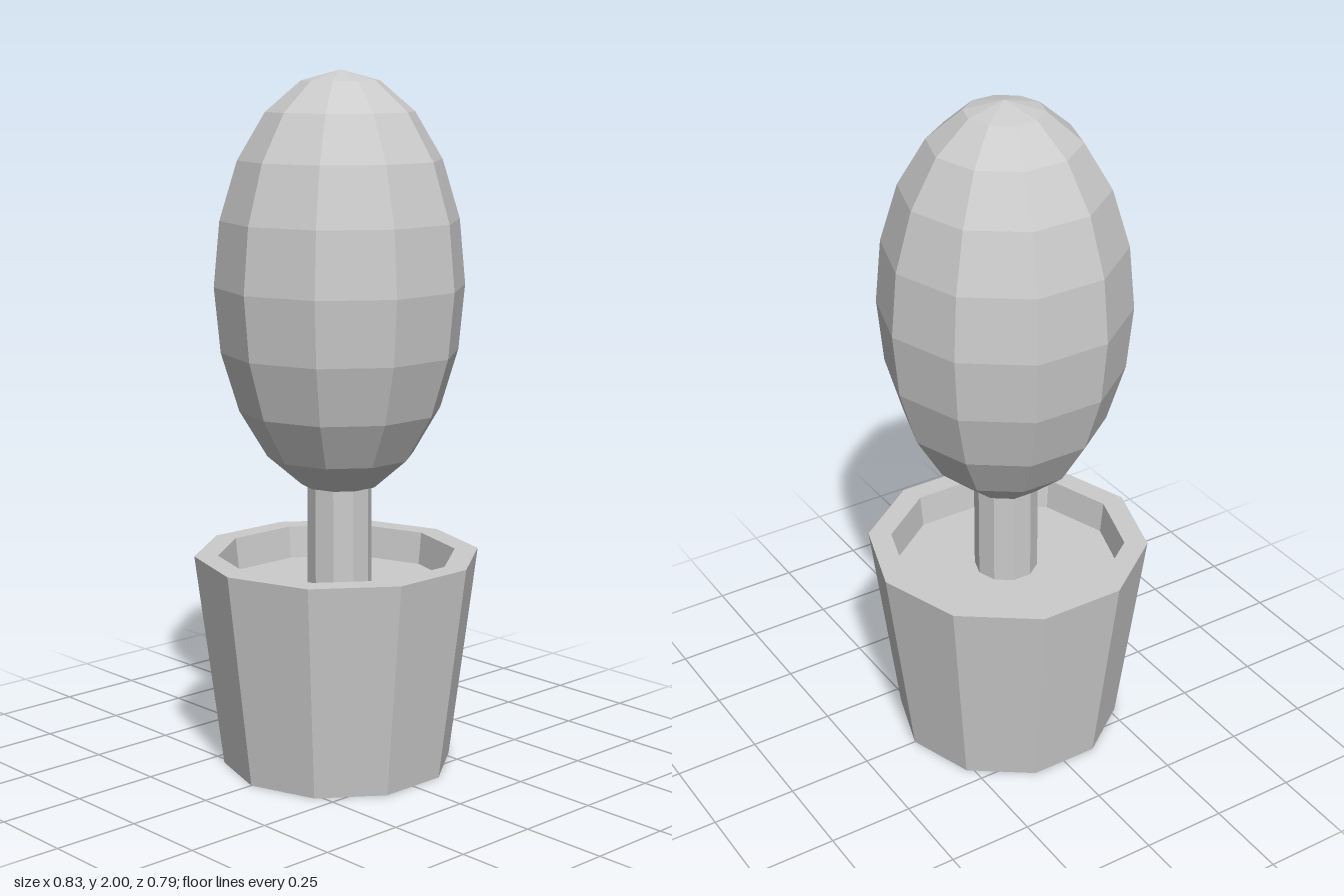
import * as THREE from 'three';

const SIDES = 10;

export function createModel() {
  const model = new THREE.Group();
  model.name = 'pottedTree';
  const material = new THREE.MeshStandardMaterial({ color: 0xcccccc, flatShading: true });

  const add = (name, geometry, x, y, z) => {
    const mesh = new THREE.Mesh(geometry, material);
    mesh.name = name;
    mesh.position.set(x, y, z);
    model.add(mesh);
  };

  // Tapered pot: underside, outer wall, rim, inner wall down to the soil
  const potProfile = [
    [0, 0], [0.333, 0], [0.413, 0.625], [0.345, 0.625], [0.335, 0.53],
  ].map(([r, y]) => new THREE.Vector2(r, y));
  add('pot', new THREE.LatheGeometry(potProfile, SIDES).rotateY(Math.PI / 2), 0, 0, 0);

  // Soil disc, corners in line with the pot's
  add('soil', new THREE.CircleGeometry(0.335, SIDES).rotateX(-Math.PI / 2), 0, 0.53, 0);

  // Trunk, from the soil into the crown
  add('trunk', new THREE.CylinderGeometry(0.093, 0.093, 0.34, SIDES, 1, true).rotateY(Math.PI / 2),
    -0.002, 0.69, 0.012);

  // Egg-shaped crown
  add('crown', new THREE.SphereGeometry(1, SIDES, 10).scale(0.357, 0.6, 0.357), 0.003, 1.4, 0.01);

  return model;
}
